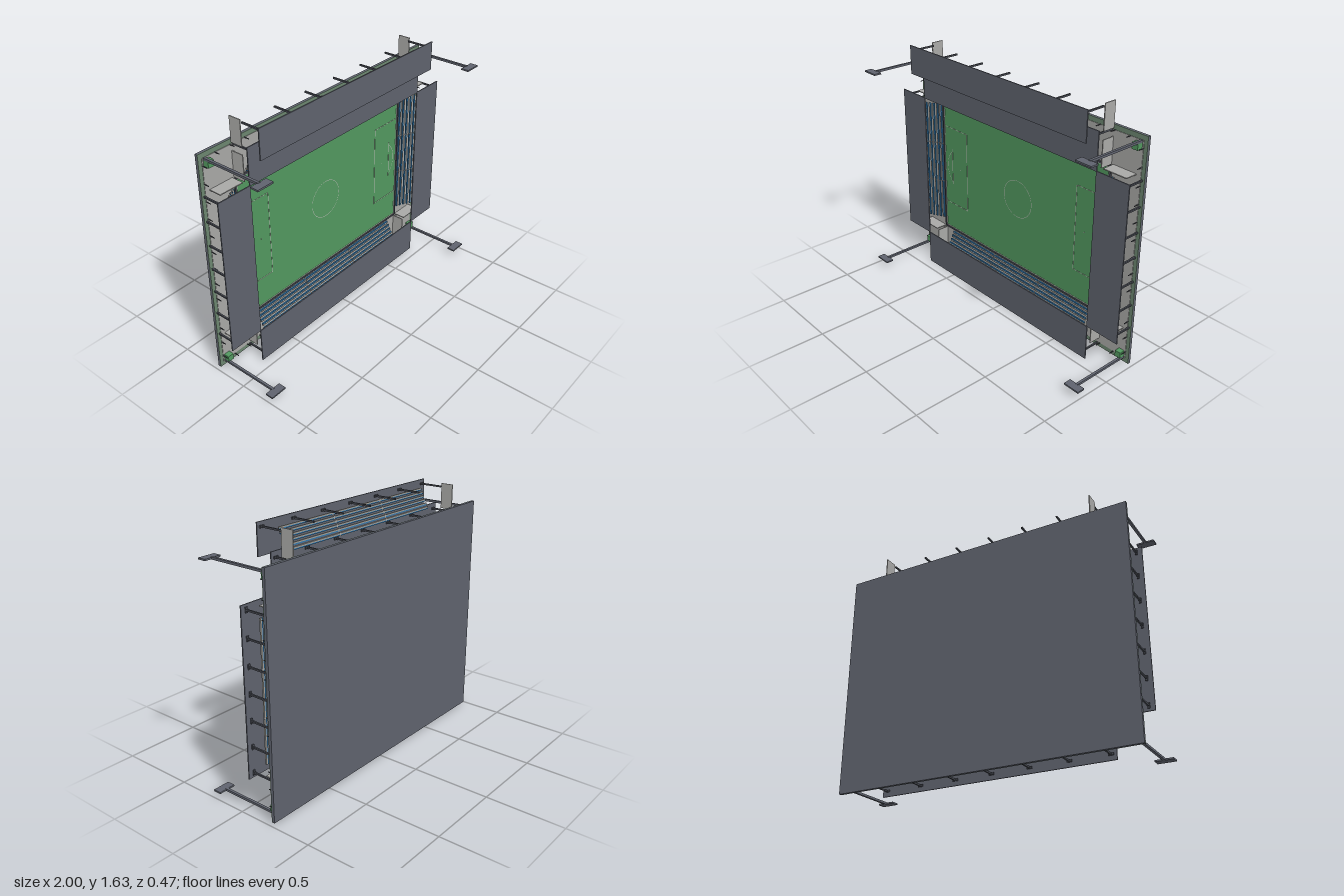
import * as THREE from 'three';

const mat = (name, color) => {
  const m = new THREE.MeshStandardMaterial({ color });
  m.name = name;
  return m;
};

export function createModel() {
  const slate = mat('slate', 0x5f636e);
  const post = mat('dark steel', 0x484b53);
  const concrete = mat('concrete', 0xa9a9a7);
  const grass = mat('grass', 0x52985f);
  const verge = mat('verge green', 0x6c8670);
  const line = mat('line white', 0xb9bdb5);
  const bench = mat('bench grey', 0xa09e98);
  const blue = mat('seat blue', 0x2f77ae);

  const root = new THREE.Group();
  root.name = 'stadium';
  const MID = 0.745; // centre of the pitch in y
  const GROUND = -0.212;

  // box given by its limits on each axis
  const box = (parent, name, m, x0, x1, y0, y1, z0, z1) => {
    const mesh = new THREE.Mesh(new THREE.BoxGeometry(x1 - x0, y1 - y0, z1 - z0), m);
    mesh.position.set((x0 + x1) / 2, (y0 + y1) / 2, (z0 + z1) / 2);
    mesh.name = name;
    parent.add(mesh);
    return mesh;
  };

  // Base slab, verge and concrete floor
  box(root, 'baseSlab', slate, -0.98, 0.98, 0.01, 1.48, -0.235, -0.219);
  box(root, 'verge', verge, -0.98, 0.98, 0.01, 1.48, -0.219, -0.215);
  box(root, 'floor', concrete, -0.955, 0.955, 0.04, 1.45, -0.215, GROUND);

  // Pitch, with a low wall and border line
  const pitch = new THREE.Group();
  pitch.name = 'pitch';
  pitch.position.y = MID;
  root.add(pitch);
  const PX = 0.74, PY = 0.483, T = GROUND + 0.004, L = T + 0.0015, W = 0.003;
  box(pitch, 'grass', grass, -PX, PX, -PY, PY, GROUND, T);
  for (const s of [-1, 1]) {
    const a = (v, w) => [Math.min(v * s, w * s), Math.max(v * s, w * s)];
    box(pitch, 'borderLine', line, -PX, PX, ...a(PY - 0.006, PY), T, L);
    box(pitch, 'borderLine', line, ...a(PX - 0.006, PX), -PY, PY, T, L);
    box(pitch, 'lowWall', post, -PX - 0.012, PX + 0.012, ...a(PY, PY + 0.012), GROUND, T + 0.006);
    box(pitch, 'lowWall', post, ...a(PX, PX + 0.012), -PY, PY, GROUND, T + 0.006);
    // Penalty area, goal line and arc
    box(pitch, 'areaFront', line, ...a(0.503, 0.506), -0.285, 0.285, T, L);
    for (const y of [-0.285, 0.285]) box(pitch, 'areaSide', line, ...a(0.503, PX), y - W / 2, y + W / 2, T, L);
    box(pitch, 'goalLine', line, ...a(0.658, 0.661), -0.13, 0.13, T, L);
    box(pitch, 'spot', line, ...a(0.577, 0.582), -0.0025, 0.0025, T, L);
    const arc = new THREE.Mesh(
      new THREE.RingGeometry(0.155, 0.158, 32, 1, (s < 0 ? Math.PI : 0) - 0.82, 1.64), line);
    arc.position.set(s * 0.553, 0, L);
    arc.name = 'goalArc';
    pitch.add(arc);
  }
  const circle = new THREE.Mesh(new THREE.RingGeometry(0.126, 0.129, 64), line);
  circle.position.z = L;
  circle.name = 'centreCircle';
  pitch.add(circle);

  // Rows of separate benches: x along the stand, y outward, z up
  const seating = (parent, sections, y0, y1, z0, z1, rows) => {
    const dy = (y1 - y0) / rows, dz = (z1 - z0) / rows;
    for (const [a, b] of sections) {
      for (let i = 0; i < rows; i++) {
        const y = y0 + i * dy, z = z0 + i * dz;
        box(parent, 'benchRow', bench, a, b, y + dy * 0.4, y + dy * 0.8, z, z + dz * 0.8);
        box(parent, 'seatRow', blue, a, b, y + dy * 0.1, y + dy * 0.4, z, z + dz * 0.7);
      }
    }
    // Pale stair flights between the sections
    for (let k = 0; k < sections.length - 1; k++) {
      const c = (sections[k][1] + sections[k + 1][0]) / 2;
      for (let i = 0; i < rows; i++)
        box(parent, 'stair', concrete, c - 0.005, c + 0.005, y0 + i * dy, y0 + (i + 1) * dy,
          z0 + i * dz, z0 + (i + 0.4) * dz);
    }
  };

  // One stand: benches, end walls, posts and flat roof
  const stand = (name, angle, d, half, wall, sections, step) => {
    const g = new THREE.Group();
    g.name = name;
    g.position.y = MID;
    g.rotation.z = angle;
    root.add(g);
    seating(g, sections, d, d + 0.165, -0.208, -0.12, 7);
    for (const s of [-1, 1])
      box(g, 'endWall', concrete, s * wall - 0.003, s * wall + 0.003, d, d + 0.165, GROUND, -0.13);
    for (let i = -3; i <= 3; i++) {
      const x = i * step;
      box(g, 'roofPost', post, x - 0.005, x + 0.005, d + 0.2, d + 0.21, GROUND, -0.073);
      box(g, 'postBracket', post, x - 0.016, x + 0.016, d + 0.198, d + 0.212, -0.081, -0.073);
    }
    box(g, 'roof', slate, -half, half, d + 0.005, d + 0.24, -0.074, -0.067);
    return g;
  };
  const longRows = [[-0.66, -0.222], [-0.215, 0.215], [0.222, 0.66]];
  const shortRows = [[-0.43, -0.146], [-0.14, 0.14], [0.146, 0.43]];
  const top = stand('topStand', 0, 0.5, 0.768, 0.745, longRows, 0.245);
  stand('bottomStand', Math.PI, 0.505, 0.768, 0.745, longRows, 0.245);
  stand('leftStand', -Math.PI / 2, 0.76, 0.508, 0.5, shortRows, 0.159);
  stand('rightStand', Math.PI / 2, 0.76, 0.508, 0.5, shortRows, 0.159);

  // Upper tier behind the top stand, with its own raised roof
  const upper = new THREE.Group();
  upper.name = 'upperTier';
  top.add(upper);
  seating(upper, longRows, 0.715, 0.85, -0.085, -0.022, 6);
  for (const s of [-1, 1])
    box(upper, 'upperEndWall', concrete, s * 0.745 - 0.003, s * 0.745 + 0.003, 0.715, 0.875, GROUND, -0.13);
  for (let i = -3; i <= 3; i++) {
    const x = i * 0.245;
    box(upper, 'upperPost', post, x - 0.005, x + 0.005, 0.85, 0.86, -0.13, 0.025);
    box(upper, 'upperBracket', post, x - 0.016, x + 0.016, 0.848, 0.862, 0.013, 0.022);
  }
  box(upper, 'upperRoof', slate, -0.768, 0.768, 0.695, 0.883, 0.022, 0.029);

  // Floodlight masts and green corner blocks
  for (const sx of [-1, 1]) for (const sy of [-1, 1]) {
    const mast = new THREE.Group();
    mast.name = 'floodlight';
    mast.position.set(sx * 0.94, MID + sy * 0.7, 0);
    root.add(mast);
    box(mast, 'mast', slate, -0.008, 0.008, -0.007, 0.007, GROUND, 0.19);
    box(mast, 'lampHead', slate, -0.055, 0.055, -0.005, 0.005, 0.183, 0.235);
    box(root, 'cornerBlock', grass, sx * 0.927 - 0.02, sx * 0.927 + 0.02,
      MID + sy * 0.675 - 0.02, MID + sy * 0.675 + 0.02, GROUND, -0.175);
  }

  // Short fence posts along the outer edge
  const fence = (x, y) => box(root, 'fencePost', post, x - 0.002, x + 0.002, y - 0.002, y + 0.002, -0.215, -0.178);
  for (const s of [-1, 1]) {
    for (let i = -6; i <= 6; i++) fence(s * 0.955, MID + i * 0.11);
    for (let i = -8; i <= 8; i++) fence(i * 0.108, MID + s * 0.705);
  }
  return root;
}
